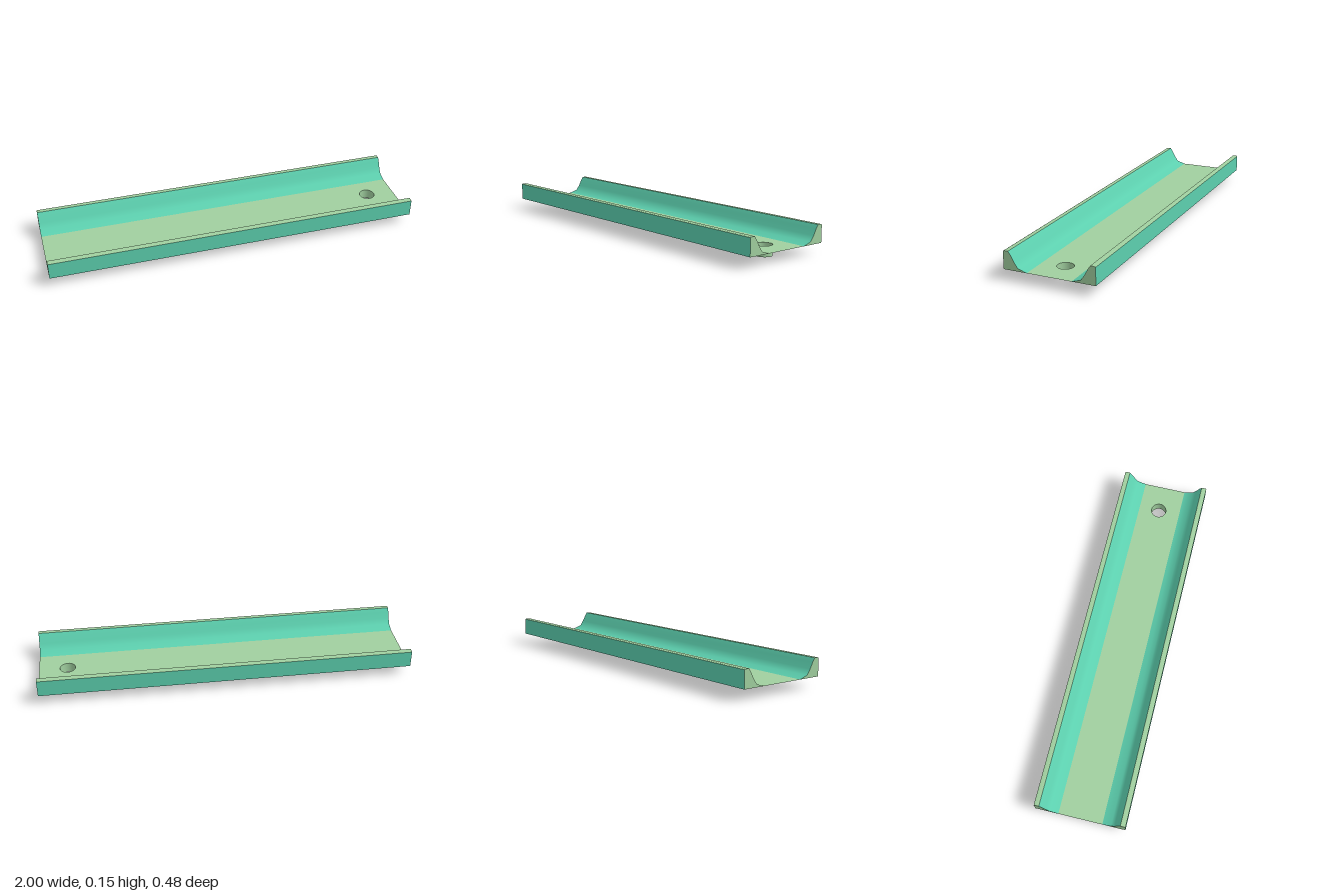
import * as THREE from 'three';

const green = new THREE.MeshStandardMaterial({ name: 'pale green', color: 0xa0cf9f, side: THREE.DoubleSide });
const teal = new THREE.MeshStandardMaterial({ name: 'teal', color: 0x5ccfae, side: THREE.DoubleSide });

const FLOOR = 0.055;
const EDGE = 0.1175;
const HOLE = { x: 0.847, z: -0.004, r: 0.042 };

// Sheet swept along x from a [z, y] profile
function sweep(profile) {
  const positions = [];
  const index = [];
  profile.forEach(([z, y], i) => {
    positions.push(-1, y, z, 1, y, z);
    if (i > 0) {
      const a = 2 * (i - 1);
      index.push(a, a + 2, a + 1, a + 1, a + 2, a + 3);
    }
  });
  const geometry = new THREE.BufferGeometry();
  geometry.setAttribute('position', new THREE.Float32BufferAttribute(positions, 3));
  geometry.setIndex(index);
  geometry.computeVertexNormals();
  return geometry;
}

function add(parent, name, geometry, material) {
  const mesh = new THREE.Mesh(geometry, material);
  mesh.name = name;
  parent.add(mesh);
  return mesh;
}

// One raised side, hollow underneath
function createSide(name) {
  const side = new THREE.Group();
  side.name = name;
  const slope = [[EDGE, FLOOR], [0.164, 0.07], [0.184, 0.098], [0.201, 0.13], [0.214, 0.149]];
  const lip = [[0.214, 0.149], [0.235, 0.149], [0.241, 0.146]];
  const wall = [[0.241, 0.146], [0.241, FLOOR]];
  add(side, 'innerSlope', sweep(slope), teal);
  add(side, 'topLip', sweep(lip), green);
  add(side, 'outerWall', sweep(wall), teal);

  // End caps close the profile at both ends
  const outline = [...slope, ...lip.slice(1), wall[1]];
  const shape = new THREE.Shape(outline.map(([z, y]) => new THREE.Vector2(z, y)));
  for (const end of [-1, 1]) {
    const points = end < 0 ? shape : new THREE.Shape(outline.map(([z, y]) => new THREE.Vector2(-z, y)));
    const cap = add(side, 'endCap', new THREE.ShapeGeometry(points), green);
    cap.rotation.y = end * Math.PI / 2;
    cap.position.x = end;
  }
  return side;
}

export function createModel() {
  const model = new THREE.Group();
  model.name = 'drainTray';

  // Thin floor with a drain hole
  const plate = new THREE.Shape([
    new THREE.Vector2(-1, -EDGE), new THREE.Vector2(1, -EDGE),
    new THREE.Vector2(1, EDGE), new THREE.Vector2(-1, EDGE),
  ]);
  const hole = new THREE.Path();
  hole.absarc(HOLE.x, -HOLE.z, HOLE.r, 0, Math.PI * 2, true);
  plate.holes.push(hole);
  const floor = add(model, 'floor', new THREE.ShapeGeometry(plate, 16), green);
  floor.rotation.x = -Math.PI / 2;
  floor.position.y = FLOOR;

  // Open drain spout below the hole
  const spout = add(model, 'drainSpout',
    new THREE.CylinderGeometry(HOLE.r, HOLE.r, FLOOR, 32, 1, true), green);
  spout.position.set(HOLE.x, FLOOR / 2, HOLE.z);

  // Matching raised sides
  const back = createSide('backSide');
  back.rotation.y = Math.PI;
  model.add(createSide('frontSide'), back);
  return model;
}
